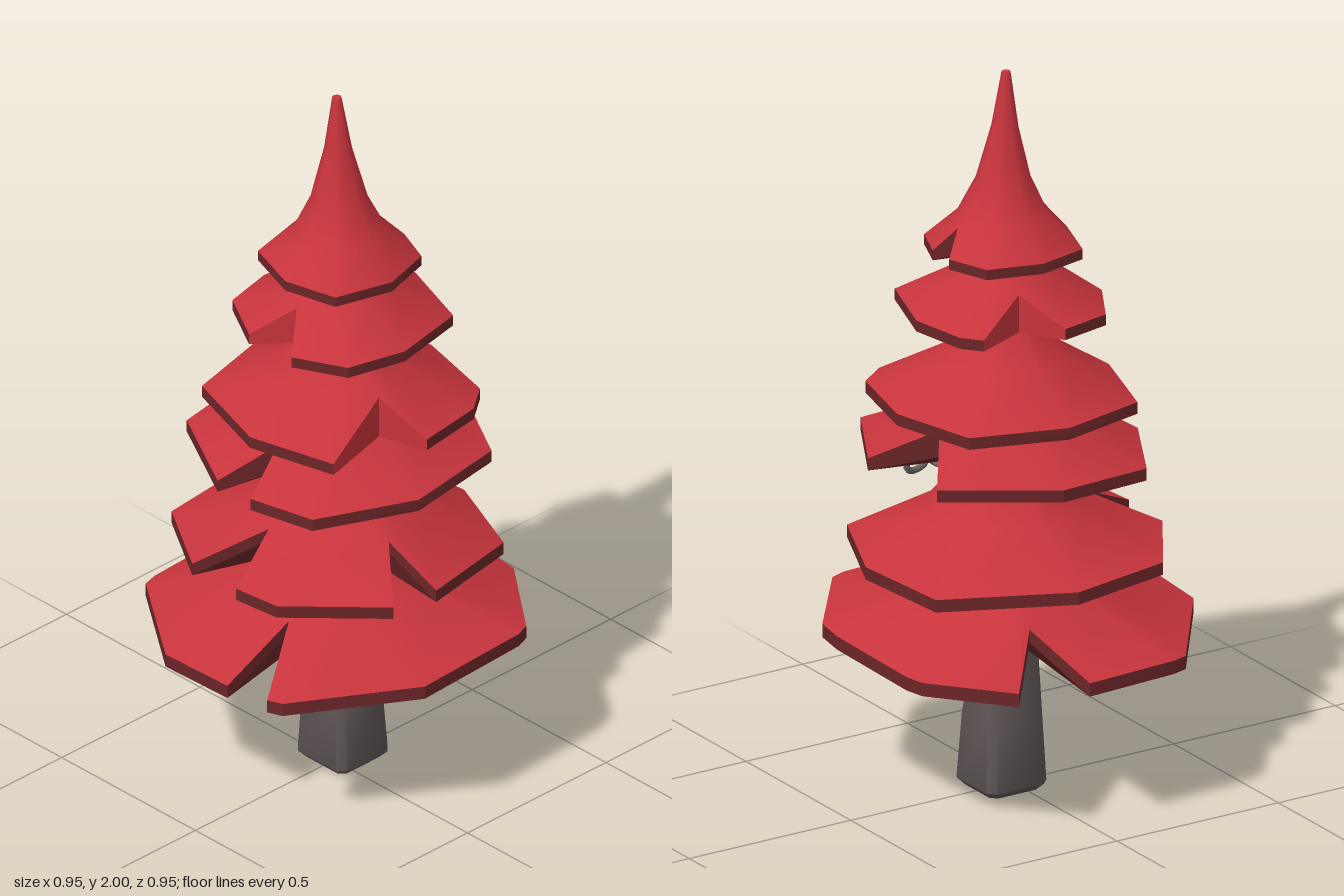
import * as THREE from 'three';
import { toCreasedNormals } from 'three/addons/utils/BufferGeometryUtils.js';

const AXIS_X = 0.035;
const AXIS_Z = -0.01;

// Surface over stacked rings of equal length, skipping collapsed corners; keep(i, j) may choose columns
function surface(rings, crease, keep = () => true) {
  const pos = [];
  const n = rings[0].length;
  const same = (p, q) => p.every((v, k) => Math.abs(v - q[k]) < 1e-6);
  const tri = (p, q, r) => {
    if (!same(p, q) && !same(q, r) && !same(r, p)) pos.push(...p, ...q, ...r);
  };
  for (let k = 0; k < rings.length - 1; k++) {
    const a = rings[k], b = rings[k + 1];
    for (let i = 0; i < n; i++) {
      const j = (i + 1) % n;
      if (!keep(i, j)) continue;
      tri(a[j], a[i], b[i]);
      tri(a[j], b[i], b[j]);
    }
  }
  const geometry = new THREE.BufferGeometry();
  geometry.setAttribute('position', new THREE.Float32BufferAttribute(pos, 3));
  return toCreasedNormals(geometry, crease);
}

// Branch slope above the rim, as [share of radius, share of height]
const SKIRT = [[0.5, 0.33], [0.3, 0.64], [0.12, 1]];
const SPIRE = [[0.6, 0.17], [0.37, 0.37], [0.18, 0.68], [0.06, 1]];

// Skirt of branches: rim corners at the given angles (degrees, from +x towards +z),
// with a wedge cut up the slope at each notch angle.
// notchLift is how far the lower edge follows the wedge up (0 = flat underside).
function buildTier({ center: [cx, cz], radius, y, height, corners, notches,
  slope = SKIRT, tilt = [0, 0], notchLift = 1, wall }, foliage, shade) {
  const [midR, midY] = slope[0];
  const notchShare = midR * 1.15;
  const notchRise = height * midY * (1 - notchShare) / (1 - midR);
  const thickness = 0.022 + 0.03 * radius;
  const columns = [
    ...corners.map((angle) => {
      const squareness = 1 - 0.05 * Math.cos(THREE.MathUtils.degToRad(4 * angle));
      return { angle, x: cx, z: cz, r: radius * squareness, rise: 0 };
    }),
    ...notches.map((angle) => ({ angle, x: AXIS_X, z: AXIS_Z, r: radius * notchShare, rise: notchRise })),
  ].sort((a, b) => a.angle - b.angle);

  const rimTop = columns.map((c) => {
    const a = THREE.MathUtils.degToRad(c.angle);
    const x = c.x + c.r * Math.cos(a), z = c.z + c.r * Math.sin(a);
    return [x, y + c.rise + tilt[0] * x + tilt[1] * z, z];
  });
  const rimBottom = rimTop.map(([px, py, pz], i) =>
    [px, py - thickness - columns[i].rise * (1 - notchLift), pz]);
  const point = (py, pz) => columns.map(() => [AXIS_X, py, pz]);
  const tipZ = AXIS_Z - 0.015 * (y + height) / 2;
  const slopeRings = slope.map(([share, rise]) => rimTop.map(([px, , pz]) => {
    const a = Math.atan2(pz - AXIS_Z, px - AXIS_X);
    const r = radius * share;
    const z = THREE.MathUtils.lerp(AXIS_Z, tipZ, rise);
    return [AXIS_X + r * Math.cos(a), y + height * rise, z + r * Math.sin(a)];
  }));

  const isWall = (i, j) => columns[i].rise + columns[j].rise > 0;
  const tier = new THREE.Group();
  const add = (name, geometry, material) => {
    const mesh = new THREE.Mesh(geometry, material);
    mesh.name = name;
    tier.add(mesh);
  };
  add('branches', surface([rimTop, ...slopeRings, point(y + height, tipZ)], 1), foliage);
  add('underside', surface([point(y - thickness, AXIS_Z), rimBottom], 0.6), shade);
  add('rim', surface([rimBottom, rimTop], 0.6, (i, j) => !isWall(i, j)), shade);
  add('notchWalls', surface([rimBottom, rimTop], 0.6, isWall), wall ?? shade);
  return tier;
}

// Square trunk section with cut corners, h = half width
function trunkRing(cx, y, h) {
  const c = h * 0.77;
  return [[h, c], [c, h], [-c, h], [-h, c], [-h, -c], [-c, -h], [c, -h], [h, -c]]
    .map(([x, z]) => [cx + x, y, z - 0.004]);
}

export function createModel() {
  const material = (name, color) => {
    const m = new THREE.MeshStandardMaterial({ color });
    m.name = name;
    return m;
  };
  const foliage = material('red foliage', 0xc8343c);
  const shade = material('dark red underside', 0x6b2528);
  const bark = material('grey bark', 0x5e5455);
  const metal = material('grey metal', 0x6b6767);

  const group = new THREE.Group();
  group.name = 'tree';
  const add = (name, geometry, mat) => {
    const mesh = new THREE.Mesh(geometry, mat);
    mesh.name = name;
    group.add(mesh);
  };

  // Trunk, tapering and leaning slightly
  const trunkEnd = (y) => Array.from({ length: 8 }, () => [AXIS_X, y, 0]);
  add('trunk', surface([
    trunkEnd(0),
    trunkRing(0.036, 0, 0.075),
    trunkRing(0.036, 0.02, 0.093),
    trunkRing(0.034, 0.2, 0.083),
    trunkRing(0.02, 0.45, 0.062),
    trunkRing(0.03, 0.62, 0.05),
    trunkEnd(0.62),
  ], 0.9), bark);

  // Foliage tiers from the ground up
  const addTier = (name, options) => {
    const tier = buildTier(options, foliage, shade);
    tier.name = name;
    group.add(tier);
  };
  addTier('bottomTier', {
    center: [0, 0], radius: 0.5, y: 0.467, height: 0.325, tilt: [0, 0.045],
    corners: [13, 23, 58, 63, 105, 149, 154, 169, 197, 241, 246, 278, 301, 330, 336], notches: [162, 289],
  });
  addTier('secondTier', {
    center: [0.02, -0.015], radius: 0.42, y: 0.685, height: 0.315, tilt: [-0.035, 0.01],
    corners: [10, 50, 93, 113, 155, 174, 198, 236, 276, 329], notches: [103, 185],
  });
  addTier('thirdTier', {
    center: [0.045, -0.025], radius: 0.392, y: 0.962, height: 0.29, tilt: [0.035, 0], notchLift: 0.5,
    corners: [11, 57, 101, 144, 172, 191, 236, 278, 328], notches: [181, 350],
  });
  addTier('fourthTier', {
    center: [AXIS_X, AXIS_Z], radius: 0.345, y: 1.108, height: 0.31, notchLift: 0, wall: foliage,
    corners: [0, 42, 58, 91, 137, 180, 228, 271, 317], notches: [104],
  });
  addTier('fifthTier', {
    center: [0.04, -0.01], radius: 0.277, y: 1.356, height: 0.264, notchLift: 0, wall: foliage,
    corners: [0, 50, 96, 131, 163, 197, 233, 264, 312, 325], notches: [180, 288],
  });
  addTier('topSpire', {
    center: [AXIS_X, -0.015], radius: 0.203, y: 1.523, height: 0.477, slope: SPIRE, notchLift: 0.3,
    corners: [13, 46, 89, 137, 181, 229, 271, 315, 350], notches: [0],
  });

  // Small wire hooks hanging under the third tier
  const addHook = (name, ...path) => {
    const curve = new THREE.CatmullRomCurve3(path.map((p) => new THREE.Vector3(...p)));
    add(name, new THREE.TubeGeometry(curve, 14, 0.009, 6), metal);
  };
  addHook('wideHook', [0.175, 0.96, 0.15], [0.178, 0.89, 0.135], [0.25, 0.887, 0.112], [0.258, 0.96, 0.1]);
  addHook('smallHook', [0.16, 0.95, 0.16], [0.165, 0.9, 0.155], [0.15, 0.88, 0.12], [0.14, 0.9, 0.085]);

  return group;
}
